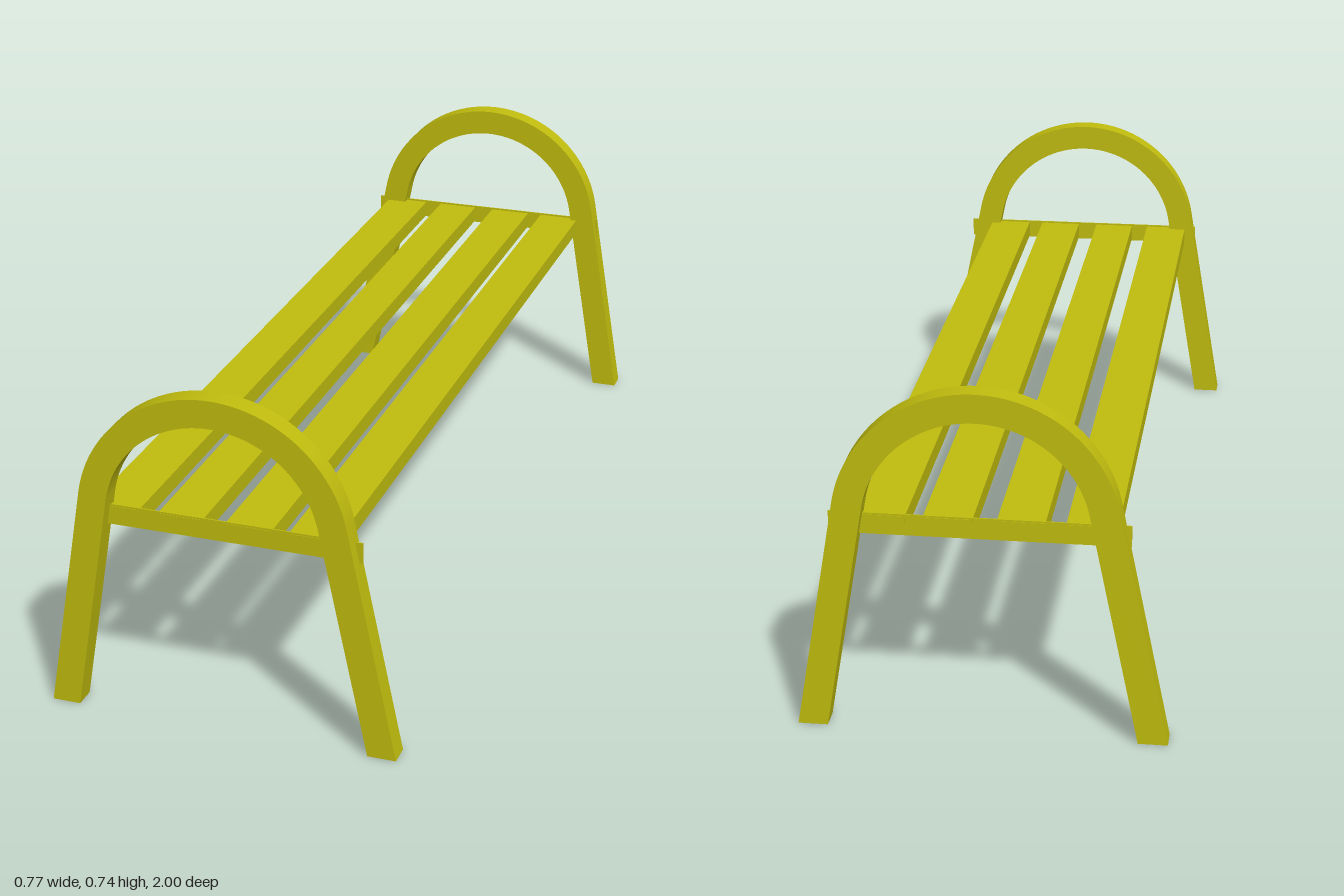
import * as THREE from 'three';
import { toCreasedNormals } from 'three/addons/utils/BufferGeometryUtils.js';

export function createModel() {
  const model = new THREE.Group();
  model.name = 'bench';

  const paint = new THREE.MeshStandardMaterial({ color: 0xc0bc0e });
  paint.name = 'olive yellow paint';

  const add = (name, geometry, x, y, z) => {
    const mesh = new THREE.Mesh(geometry, paint);
    mesh.name = name;
    mesh.position.set(x, y, z);
    model.add(mesh);
    return mesh;
  };

  // Arched end frame: two splayed legs joined by a round hoop
  const depth = 0.047, cx = -0.004, cy = 0.45;
  const leftAngle = Math.PI - 0.16, rightAngle = 0.2;
  const arch = new THREE.Shape();
  arch.moveTo(0.322, 0);
  arch.lineTo(0.383, 0);
  arch.absarc(cx, cy, 0.29, rightAngle, leftAngle, false);
  arch.lineTo(-0.374, 0);
  arch.lineTo(-0.313, 0);
  arch.absarc(cx, cy, 0.23, leftAngle, rightAngle, true);
  arch.closePath();
  const archGeometry = toCreasedNormals(
    new THREE.ExtrudeGeometry(arch, { depth, bevelEnabled: false, curveSegments: 40 }), 0.5);

  // The back frame is the front one turned half way round
  add('frontFrame', archGeometry, 0, 0, 1 - depth);
  add('backFrame', archGeometry, 0, 0, depth - 1).rotation.y = Math.PI;

  // Thin plates that tie the slat ends to the frames
  const plate = new THREE.BoxGeometry(0.606, 0.045, 0.003);
  for (const side of [1, -1]) {
    add(side > 0 ? 'frontEndPlate' : 'backEndPlate', plate, 0.001, 0.4445, side * 0.97);
  }

  // Seat slats, each given by its left and right edge
  const slats = [[-0.275, -0.172], [-0.131, -0.034], [0.014, 0.114], [0.149, 0.25]];
  slats.forEach(([a, b], i) => {
    add(`seatSlat${i + 1}`, new THREE.BoxGeometry(b - a, 0.038, 1.945), (a + b) / 2, 0.444, 0);
  });

  return model;
}
